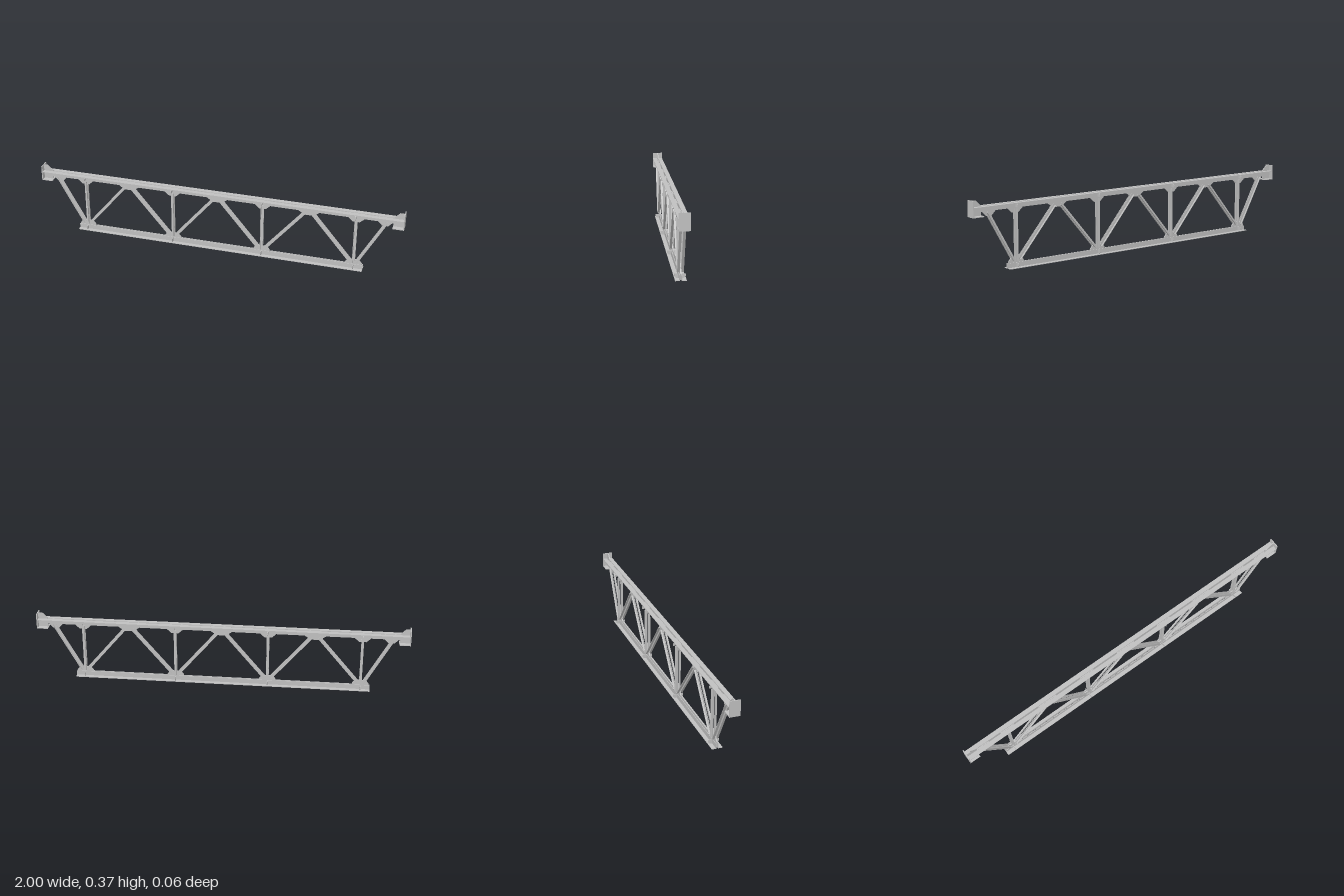
import * as THREE from 'three';

const steel = new THREE.MeshStandardMaterial({ color: 0xbfbfbf });
steel.name = 'steel grey';

const GAP = 0.004;      // half the gap between paired angles
const HALF = 0.028;     // half the flange width
const TOP = 0.332;      // top of the upper chord
const LEG = 0.027;      // height of the chord legs

function shapeOf(points) {
  return new THREE.Shape(points.map(([x, y]) => new THREE.Vector2(x, y)));
}

// Two L-shaped bars back to back, running from a to b in the z = 0 plane.
// The heel sits on the line a-b; side = 1 or -1 tells which way the legs point.
function pairedAngles(name, a, b, leg, flange, t, side) {
  const group = new THREE.Group();
  group.name = name;
  const start = new THREE.Vector3(a[0], a[1], 0);
  const dir = new THREE.Vector3(b[0] - a[0], b[1] - a[1], 0);
  const length = dir.length();
  dir.normalize();
  const zAxis = new THREE.Vector3(0, 0, 1);
  const across = new THREE.Vector3().crossVectors(zAxis, dir);
  const matrix = new THREE.Matrix4().makeBasis(across, zAxis, dir).setPosition(start);
  for (const s of [1, -1]) {
    const profile = [
      [0, GAP], [0, flange], [t, flange], [t, GAP + t], [leg, GAP + t], [leg, GAP],
    ].map(([p, z]) => [p * side, z * s]);
    const geo = new THREE.ExtrudeGeometry(shapeOf(profile), { depth: length, bevelEnabled: false });
    geo.applyMatrix4(matrix);
    const bar = new THREE.Mesh(geo, steel);
    bar.name = s > 0 ? 'frontAngle' : 'backAngle';
    group.add(bar);
  }
  return group;
}

// A thin upright plate in the gap between the angles
function gusset(name, points) {
  const t = 0.006;
  const geo = new THREE.ExtrudeGeometry(shapeOf(points), { depth: t, bevelEnabled: false });
  geo.translate(0, 0, -t / 2);
  const mesh = new THREE.Mesh(geo, steel);
  mesh.name = name;
  return mesh;
}

function box(name, w, h, d, x, y, z) {
  const mesh = new THREE.Mesh(new THREE.BoxGeometry(w, h, d), steel);
  mesh.name = name;
  mesh.position.set(x, y, z);
  return mesh;
}

// Stiffener across one side of a chord, with its outer corner cut off
function stiffener(name, x, y, up, s) {
  const t = 0.003;
  const pts = [[GAP, 0], [0.019, 0], [HALF, 0.009], [HALF, 0.021], [GAP, 0.021]]
    .map(([z, h]) => [-z * s, h * up]);
  const geo = new THREE.ExtrudeGeometry(shapeOf(pts), { depth: t, bevelEnabled: false });
  geo.translate(0, 0, -t / 2);
  geo.rotateY(Math.PI / 2);
  const mesh = new THREE.Mesh(geo, steel);
  mesh.name = name;
  mesh.position.set(x, y, 0);
  return mesh;
}

export function createModel() {
  const model = new THREE.Group();
  model.name = 'truss';

  // Chords
  model.add(pairedAngles('upperChord', [-0.995, TOP], [0.995, TOP], LEG, HALF, 0.003, -1));
  model.add(pairedAngles('lowerChord', [-0.8, 0], [0.8, 0], LEG, HALF, 0.003, 1));

  // Posts, with lower gussets and stiffeners at each one
  for (const x of [-0.75, -0.25, 0.25, 0.75]) {
    const side = x < 0 ? 1 : -1;
    model.add(pairedAngles('post', [x - side * -0.007, 0.035], [x - side * -0.007, 0.3], 0.014, 0.016, 0.0025, side));
    model.add(gusset('lowerGusset', [
      [x - 0.045, 0.004], [x + 0.045, 0.004], [x + 0.045, 0.034], [x + 0.028, 0.054],
      [x - 0.028, 0.054], [x - 0.045, 0.034],
    ]));
    for (const s of [1, -1]) {
      model.add(stiffener('lowerStiffener', x, 0.004, 1, s));
      model.add(stiffener('upperStiffener', x, TOP - 0.003, -1, s));
    }
  }

  // Upper gussets
  const gussets = [[0, 0.055], [0.25, 0.042], [0.5, 0.055], [0.75, 0.042], [0.9, 0.036]];
  for (const [gx, w] of gussets) {
    for (const x of gx ? [gx, -gx] : [0]) {
      model.add(gusset('upperGusset', [
        [x - w, TOP - 0.002], [x - w, 0.302], [x - w * 0.45, 0.281],
        [x + w * 0.45, 0.281], [x + w, 0.302], [x + w, TOP - 0.002],
      ]));
    }
  }

  for (const m of [1, -1]) {
    // Diagonals, each from its upper to its lower joint
    const diagonals = [
      [0.915, 0.3, 0.77, 0.037],
      [0.515, 0.292, 0.728, 0.04],
      [0.485, 0.292, 0.272, 0.04],
      [0.015, 0.292, 0.228, 0.04],
    ];
    for (const [x1, y1, x2, y2] of diagonals) {
      // the flange lies on the underside of every diagonal
      const side = (x2 > x1 ? 1 : -1) * m;
      model.add(pairedAngles('diagonal', [m * x1, y1], [m * x2, y2], 0.014, 0.016, 0.0025, side));
    }

    // End connection: end plate, seat and web
    model.add(box('endPlate', 0.005, 0.084, HALF * 2, m * 0.9975, 0.323, 0));
    model.add(box('seatPlate', 0.055, 0.004, HALF * 2, m * 0.9675, 0.284, 0));
    model.add(gusset('endWeb', [
      [0.996, 0.284], [0.996, 0.364], [0.972, 0.364], [0.944, 0.336], [0.944, 0.284],
    ].map(([x, y]) => [m * x, y])));
  }
  return model;
}
